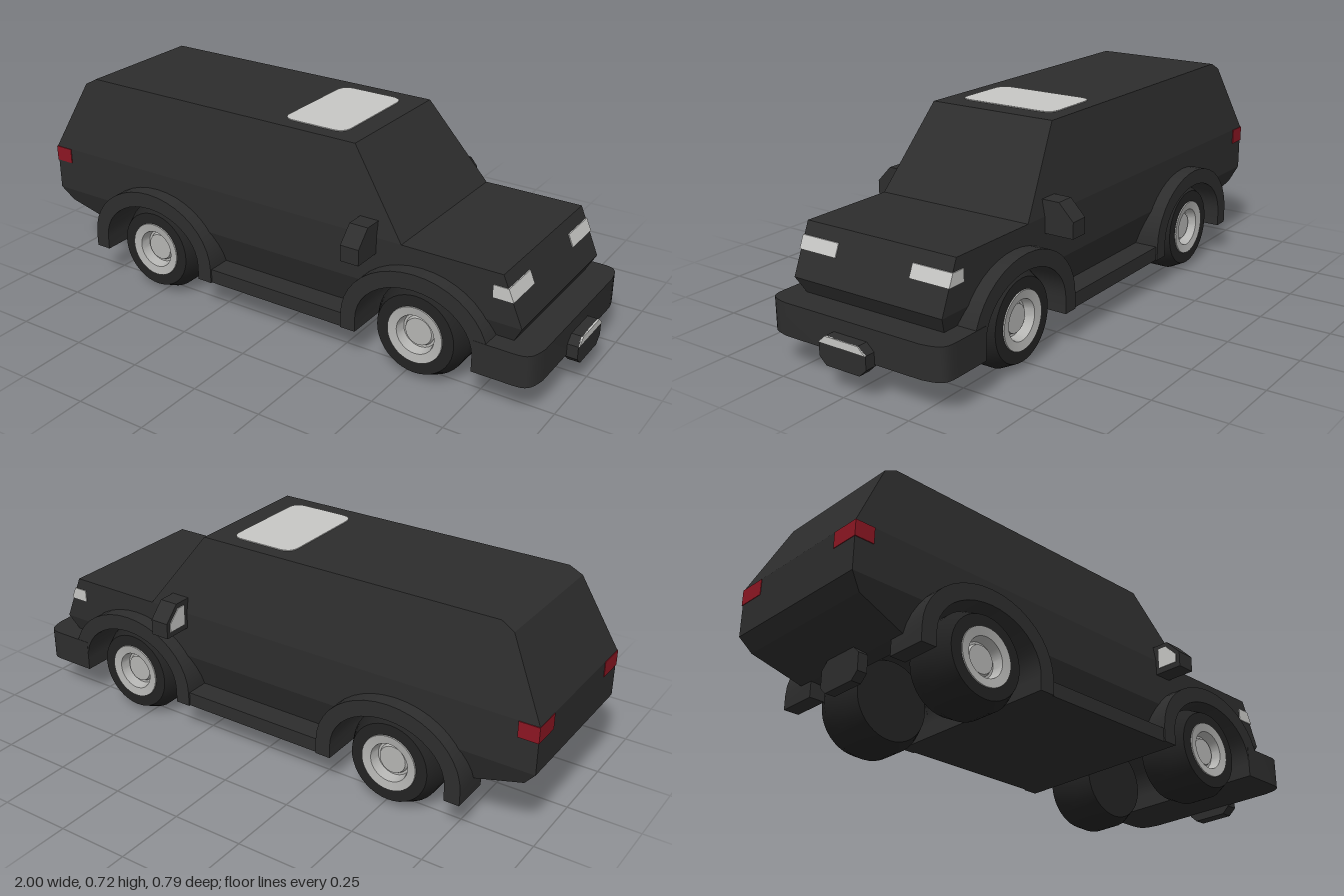
import * as THREE from 'three';
import { toCreasedNormals } from 'three/addons/utils/BufferGeometryUtils.js';

const mat = (name, color) => {
  const m = new THREE.MeshStandardMaterial({ color });
  m.name = name;
  return m;
};

export function createModel() {
  const car = new THREE.Group();
  car.name = 'stationWagon';
  const paint = mat('charcoalPaint', 0x2d2d2d);
  const rubber = mat('tyreRubber', 0x222222);
  const alloy = mat('wheelAlloy', 0xb4b4b2);
  const lightGrey = mat('paleGlass', 0xc6c6c4);
  const red = mat('tailLightRed', 0x8c1622);

  const add = (name, geometry, material, parent = car) => {
    const mesh = new THREE.Mesh(geometry, material);
    mesh.name = name;
    parent.add(mesh);
    return mesh;
  };
  const shapeOf = (pts) => new THREE.Shape(pts.map(([x, y]) => new THREE.Vector2(x, y)));
  const extrude = (shape, depth) =>
    new THREE.ExtrudeGeometry(shape, { depth, bevelEnabled: false, curveSegments: 8 });
  // side profile extruded from z0 to z1
  const acrossZ = (pts, z0, z1) => extrude(shapeOf(pts), z1 - z0).translate(0, 0, z0);
  // end profile given as [z, y], extruded from x0 to x1
  const alongX = (pts, x0, x1) =>
    extrude(shapeOf(pts.map(([z, y]) => [-z, y])), x1 - x0).rotateY(Math.PI / 2).translate(x0, 0, 0);
  // plan outline given as [x, z], extruded from y0 to y1
  const upY = (shape, y0, y1) => extrude(shape, y1 - y0).rotateX(-Math.PI / 2).translate(0, y0, 0);

  // Wheel arch curve
  const REAR = -0.52, FRONT = 0.545, AXLE = 0.165, RX = 0.21, RY = 0.165;
  const arc = (cx, a0, a1, rx = RX, ry = RY, n = 20) =>
    Array.from({ length: n + 1 }, (_, i) => {
      const a = a0 + ((a1 - a0) * i) / n;
      return [cx + rx * Math.cos(a), AXLE + ry * Math.sin(a)];
    });
  const A = Math.asin((0.28 - AXLE) / RY);
  const PI = Math.PI;

  // Body layers: the half width follows the height
  const layer = (name, pts, halfWidth) => {
    const g = acrossZ(pts, -1, 1);
    const p = g.attributes.position;
    for (let i = 0; i < p.count; i++) p.setZ(i, Math.sign(p.getZ(i)) * halfWidth(p.getY(i)));
    g.computeVertexNormals();
    add(name, g, paint);
  };
  layer('cabin', [[-1, 0.445], [0.47, 0.445], [0.265, 0.72], [-0.83, 0.72], [-0.875, 0.695]],
    (y) => 0.29 - ((y - 0.445) / 0.275) * 0.052);
  layer('bodyWaist', [[-1, 0.28], ...arc(REAR, PI - A, A), ...arc(FRONT, PI - A, A),
    [0.89, 0.28], [0.82, 0.445], [-1, 0.445]], () => 0.29);
  const taper = (y) => 0.29 - (0.28 - y) * 0.33;
  layer('rearLowerBody', [[-1, 0.28], [-0.96, 0.23], [-0.785, 0.17], ...arc(REAR, PI, PI - A)], taper);
  layer('middleLowerBody', [...arc(REAR, A, 0), ...arc(FRONT, PI, PI - A)], taper);
  layer('frontLowerBody', [...arc(FRONT, A, 0), [0.86, AXLE], [0.86, 0.225], [0.89, 0.28]], taper);

  // Sills and floor
  add('sillAndFloor', new THREE.BoxGeometry(0.645, 0.05, 0.67).translate(0.0125, 0.14, 0), paint);

  // Front bumper with rounded corners
  const plan = new THREE.Shape();
  plan.moveTo(0.755, -0.342);
  plan.lineTo(0.89, -0.342);
  plan.bezierCurveTo(0.94, -0.342, 0.95, -0.33, 0.96, -0.265);
  plan.lineTo(0.96, 0.265);
  plan.bezierCurveTo(0.95, 0.33, 0.94, 0.342, 0.89, 0.342);
  plan.lineTo(0.755, 0.342);
  add('frontBumper', toCreasedNormals(upY(plan, 0.115, 0.225), 0.6), paint);

  // Number plate holders, without lettering
  const holder = (y, h) => [[-0.065, y], [0.065, y], [0.092, y + 0.025], [0.092, y + h - 0.025],
    [0.065, y + h], [-0.065, y + h], [-0.092, y + h - 0.025], [-0.092, y + 0.025]];
  add('frontPlateHolder', alongX(holder(0.085, 0.095), 0.955, 0.997), paint);
  add('frontPlateStrip', alongX([[-0.092, 0.155], [0.092, 0.155], [0.065, 0.18], [-0.065, 0.18]],
    0.994, 1.0), lightGrey);
  add('rearPlateHolder', alongX(holder(0.072, 0.11), -0.82, -0.785), paint);

  // Sunroof
  const [sx0, sx1, sz, r] = [-0.05, 0.19, 0.185, 0.045];
  const roof = new THREE.Shape();
  roof.moveTo(sx0 + r, -sz);
  roof.lineTo(sx1 - r, -sz);
  roof.quadraticCurveTo(sx1, -sz, sx1, -sz + r);
  roof.lineTo(sx1, sz - r);
  roof.quadraticCurveTo(sx1, sz, sx1 - r, sz);
  roof.lineTo(sx0 + r, sz);
  roof.quadraticCurveTo(sx0, sz, sx0, sz - r);
  roof.lineTo(sx0, -sz + r);
  roof.quadraticCurveTo(sx0, -sz, sx0 + r, -sz);
  add('sunroof', upY(roof, 0.716, 0.723), lightGrey);

  // Wheel profiles: [radius, distance outward]
  const lathe = (pts) => toCreasedNormals(
    new THREE.LatheGeometry(pts.map(([a, b]) => new THREE.Vector2(a, b)), 40).rotateX(PI / 2), 0.5);
  const tyre = lathe([[0, -0.095], [0.138, -0.095], [0.163, -0.045], [0.163, 0.045],
    [0.138, 0.095], [0.098, 0.095], [0.09, 0.08]]);
  const rim = lathe([[0.1, 0.09], [0.098, 0.099], [0.068, 0.094], [0.06, 0.06],
    [0.052, 0.06], [0.047, 0.072], [0, 0.072]]);

  for (const s of [1, -1]) {
    const side = s > 0 ? 'Near' : 'Far';
    const span = (pts, a, b) => acrossZ(pts, Math.min(s * a, s * b), Math.max(s * a, s * b));

    for (const [end, cx] of [['rear', REAR], ['front', FRONT]]) {
      // Arch flare
      const flare = [[cx + 0.265, 0.115], ...arc(cx, 0, PI, 0.265, 0.22), [cx - 0.265, 0.115],
        [cx - RX, 0.115], ...arc(cx, PI, 0), [cx + RX, 0.115]];
      add(end + 'Flare' + side, toCreasedNormals(span(flare, 0.2, 0.341), 0.5), paint);

      // Wheel
      const wheel = new THREE.Group();
      wheel.name = end + 'Wheel' + side;
      add('tyre', tyre, rubber, wheel);
      add('rim', rim, alloy, wheel);
      wheel.position.set(cx, 0.163, s * 0.225);
      wheel.rotation.y = s > 0 ? 0 : PI;
      car.add(wheel);
    }

    // Lamps wrapping around the corners
    add('headlight' + side, span([[0.79, 0.362], [0.859, 0.362], [0.841, 0.404], [0.79, 0.404]],
      0.145, 0.293), lightGrey);
    add('tailLight' + side, span([[-1.002, 0.39], [-0.933, 0.39], [-0.933, 0.444], [-1.002, 0.444]],
      0.19, 0.293), red);

    // Door mirror and its glass
    add('mirror' + side, alongX([[0.25, 0.39], [0.395, 0.39], [0.395, 0.445], [0.342, 0.5], [0.25, 0.5]]
      .map(([z, y]) => [s * z, y]), 0.313, 0.38), paint);
    add('mirrorGlass' + side, alongX([[0.305, 0.41], [0.38, 0.41], [0.38, 0.44], [0.337, 0.483], [0.305, 0.483]]
      .map(([z, y]) => [s * z, y]), 0.31, 0.315), lightGrey);
  }
  return car;
}
